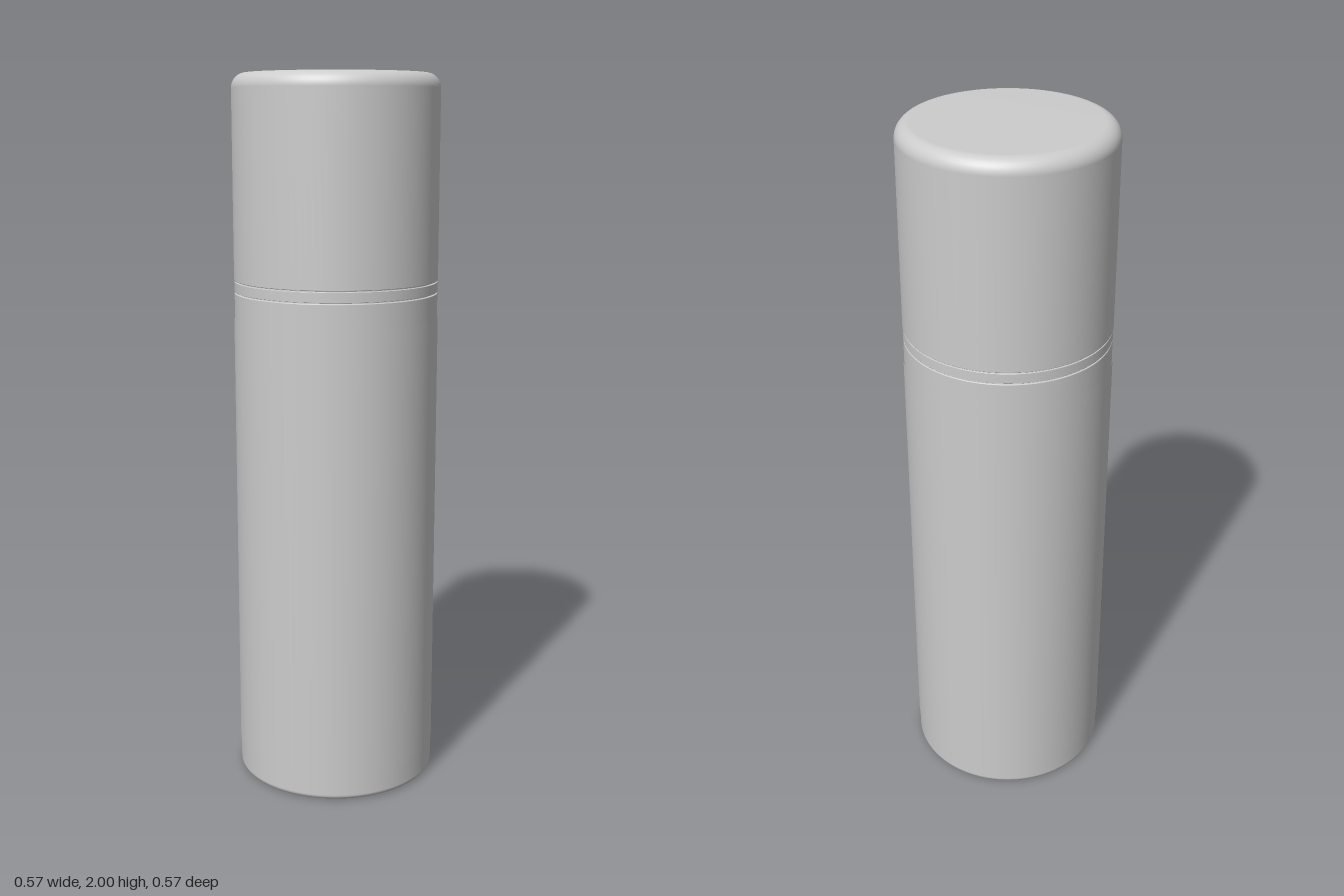
import * as THREE from 'three';

const RADIUS = 0.284;
const SEGMENTS = 96;

// Quarter-round points around (cx, cy), sweeping from angle a to b
function arc(cx, cy, r, a, b, steps = 8) {
  return Array.from({ length: steps + 1 }, (_, i) => {
    const t = a + ((b - a) * i) / steps;
    return new THREE.Vector2(cx + r * Math.cos(t), cy + r * Math.sin(t));
  });
}

// Solid of revolution with rounded bottom and top edges
function roundedCan(name, y0, y1, radius, bottomRound, topRound, material) {
  const profile = [
    new THREE.Vector2(0, y0),
    ...arc(radius - bottomRound, y0 + bottomRound, bottomRound, -Math.PI / 2, 0),
    ...arc(radius - topRound, y1 - topRound, topRound, 0, Math.PI / 2),
    new THREE.Vector2(0, y1),
  ];
  const mesh = new THREE.Mesh(new THREE.LatheGeometry(profile, SEGMENTS), material);
  mesh.name = name;
  return mesh;
}

export function createModel() {
  const group = new THREE.Group();
  group.name = 'cappedCanister';

  const grey = new THREE.MeshStandardMaterial({ color: 0xcccccc });
  grey.name = 'light grey';

  // Body, collar and cap, separated by hairline seams
  group.add(roundedCan('body', 0, 1.408, RADIUS - 0.001, 0.016, 0.002, grey));
  group.add(roundedCan('collar', 1.411, 1.439, RADIUS - 0.001, 0.001, 0.001, grey));
  group.add(roundedCan('cap', 1.442, 2, RADIUS, 0.002, 0.04, grey));

  // Inner neck closing the seams
  const neck = new THREE.Mesh(new THREE.CylinderGeometry(0.275, 0.275, 0.1, SEGMENTS, 1, true), grey);
  neck.name = 'neck';
  neck.position.y = 1.425;
  group.add(neck);

  // Thin sleeve wrapped around the body
  const sleeve = new THREE.Mesh(
    new THREE.CylinderGeometry(RADIUS + 0.001, RADIUS + 0.001, 1.26, SEGMENTS, 1, true), grey);
  sleeve.name = 'sleeve';
  sleeve.position.y = 0.71;
  group.add(sleeve);

  return group;
}
